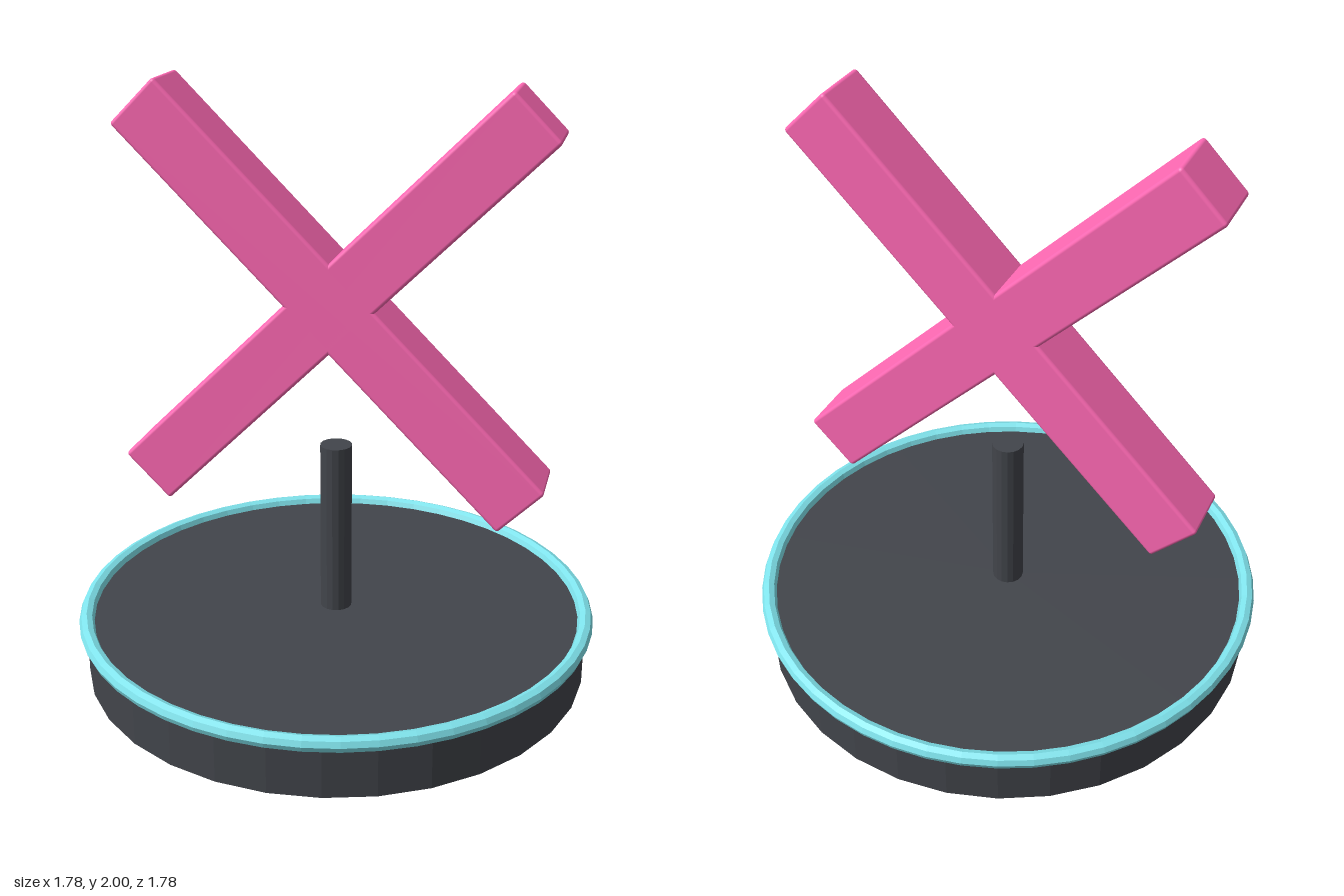
import * as THREE from 'three';
import { RoundedBoxGeometry } from 'three/addons/geometries/RoundedBoxGeometry.js';

export function createModel() {
  const model = new THREE.Group();
  model.name = 'crossOnStand';

  const dark = new THREE.MeshStandardMaterial({ color: 0x42454b, flatShading: true });
  const teal = new THREE.MeshStandardMaterial({ color: 0x7fe3ec, flatShading: true });
  const pink = new THREE.MeshStandardMaterial({ color: 0xff69b4 });

  const add = (name, geometry, material, y, parent = model) => {
    const mesh = new THREE.Mesh(geometry, material);
    mesh.name = name;
    mesh.position.y = y;
    parent.add(mesh);
    return mesh;
  };

  // Round base with a bright rim around its top edge
  const baseHeight = 0.19;
  add('base', new THREE.CylinderGeometry(0.862, 0.862, baseHeight, 32), dark, baseHeight / 2);
  const rim = add('rim', new THREE.TorusGeometry(0.862, 0.026, 8, 48), teal, baseHeight);
  rim.rotation.x = Math.PI / 2;

  // Short post
  const postHeight = 0.6;
  add('post', new THREE.CylinderGeometry(0.054, 0.054, postHeight, 16), dark, baseHeight + postHeight / 2);

  // Floating cross: two softly rounded bars, mirrored
  const cross = new THREE.Group();
  cross.name = 'cross';
  cross.position.y = 1.29;
  model.add(cross);
  const barGeometry = new RoundedBoxGeometry(1.81, 0.213, 0.213, 3, 0.012);
  for (const [name, side] of [['risingBar', 1], ['fallingBar', -1]]) {
    add(name, barGeometry, pink, 0, cross).rotation.z = side * Math.PI / 4;
  }

  return model;
}
